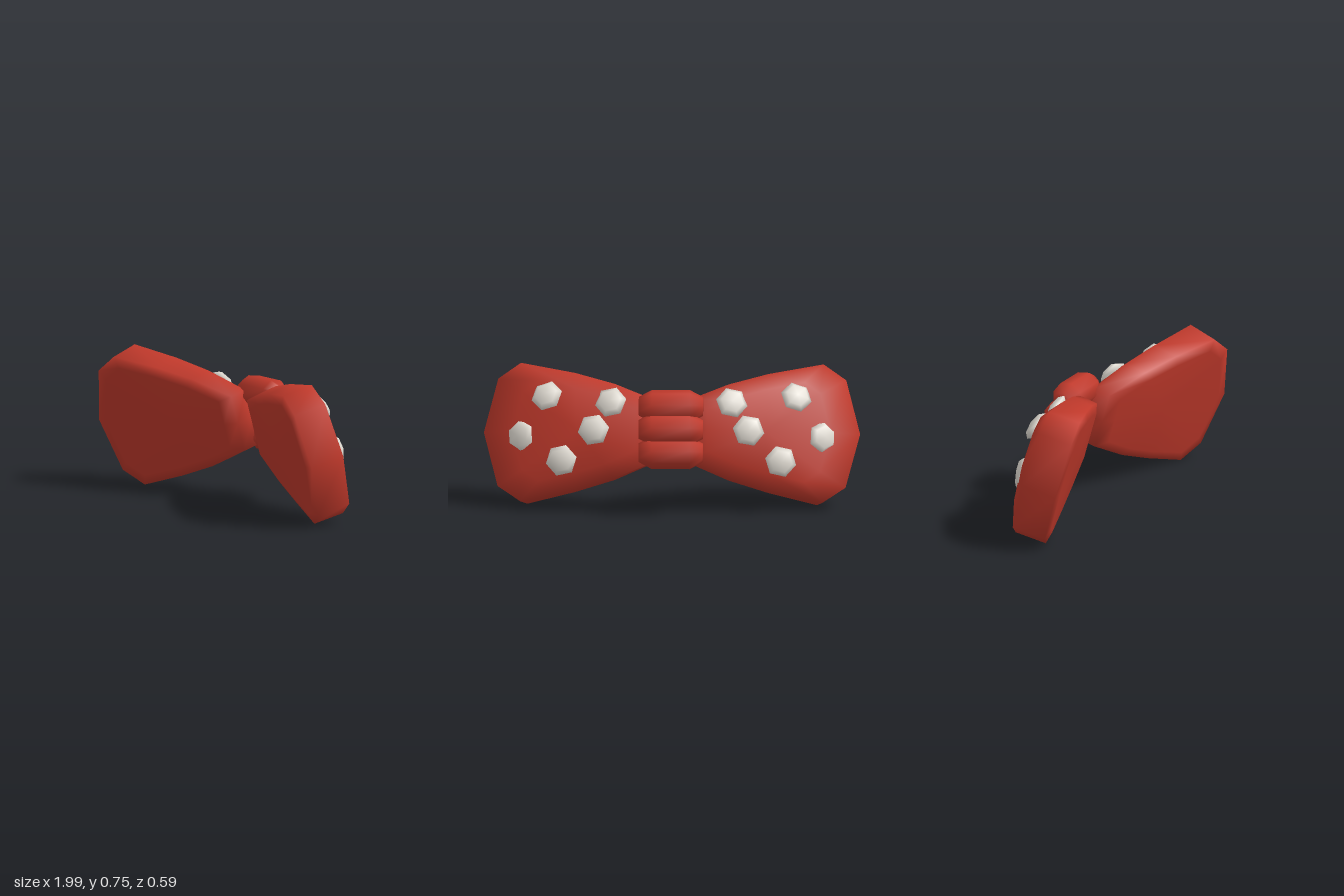
import * as THREE from 'three';
import { mergeVertices } from 'three/addons/utils/BufferGeometryUtils.js';

const red = new THREE.MeshStandardMaterial({ color: 0xc0392b });
red.name = 'red fabric';
const white = new THREE.MeshStandardMaterial({ color: 0xe2ddd4 });
white.name = 'off-white dots';

// Upper half of the wing outline, from the knot to the outer tip
const half = [[0.07, 0.155], [0.3, 0.25], [0.51, 0.31], [0.78, 0.367], [0.9, 0.285], [0.975, 0]];
const outline = [
  ...half,
  ...half.slice(0, -1).reverse().map(([x, y]) => [x, -y]),
  [0.07, 0],
].reverse();

// Depth of the front and back rims, sweeping forward towards the tip
const frontRim = (x) => -0.02 + 0.3 * (x - 0.07);
const backRim = (x) => -0.117 + 0.2 * (x - 0.07);

// Rings from the middle of the front face, round the rim, to the middle of the back
const rings = [
  { scale: 0, rim: frontRim, bulge: 0.02, shift: 0 },
  { scale: 0.84, rim: frontRim, bulge: 0.02, shift: 0 },
  { scale: 1, rim: frontRim, bulge: 0, shift: -0.015 },
  { scale: 1, rim: backRim, bulge: 0, shift: 0.02 },
  { scale: 0.72, rim: backRim, bulge: -0.065, shift: 0 },
  { scale: 0, rim: backRim, bulge: -0.082, shift: 0 },
];

function wingGeometry(side) {
  const points = side > 0 ? outline : [...outline].reverse();
  const n = points.length;
  const positions = [];
  const index = [];
  rings.forEach(({ scale, rim, bulge, shift }) => {
    for (const [px, py] of points) {
      const x = 0.5 + (px - 0.5) * scale;
      positions.push(side * (x + (px > 0.7 ? shift : 0)), py * scale, rim(x) + bulge);
    }
  });
  for (let r = 0; r < rings.length - 1; r++) {
    for (let i = 0; i < n; i++) {
      const a = r * n + i, an = r * n + (i + 1) % n;
      const b = a + n, bn = an + n;
      if (rings[r + 1].scale > 0) index.push(a, b, bn);
      if (rings[r].scale > 0) index.push(a, bn, an);
    }
  }
  // The last ring collapses to a point and closes the back
  const last = (rings.length - 1) * n;
  for (let i = 0; i < n; i++) {
    index.push(last - n + i, last, last - n + (i + 1) % n);
  }
  // Remove the duplicate zero-width triangles of the closing ring
  const clean = [];
  for (let i = 0; i < index.length; i += 3) {
    const t = index.slice(i, i + 3);
    if (t.filter((k) => k >= last).length < 2) clean.push(...t);
  }
  const seen = new Set();
  const unique = [];
  for (let i = 0; i < clean.length; i += 3) {
    const key = clean.slice(i, i + 3).map((k) => (k >= last ? last : k)).join();
    if (!seen.has(key)) unique.push(...clean.slice(i, i + 3));
    seen.add(key);
  }
  let geometry = new THREE.BufferGeometry();
  geometry.setAttribute('position', new THREE.Float32BufferAttribute(positions, 3));
  geometry.setIndex(unique);
  geometry = mergeVertices(geometry);
  geometry.computeVertexNormals();
  return geometry;
}

// Dot centres on the back, with the sideways and upward lean of each
const dots = [
  [0.41, 0, -0.144, 0.15, 0],
  [0.58, -0.16, -0.11, 0.2, -0.1],
  [0.32, 0.148, -0.136, 0.2, 0.25],
  [0.66, 0.184, -0.082, 0.3, 0.35],
  [0.8, -0.024, -0.03, 0.65, 0],
];

export function createModel() {
  const model = new THREE.Group();
  model.name = 'bowTie';
  const bow = new THREE.Group();
  bow.name = 'tiltedBow';
  bow.position.y = 0.4;
  bow.rotation.x = 0.28;
  model.add(bow);

  const add = (name, geometry, material, x = 0, y = 0, z = 0) => {
    const mesh = new THREE.Mesh(geometry, material);
    mesh.name = name;
    mesh.position.set(x, y, z);
    bow.add(mesh);
    return mesh;
  };

  // Wings and their raised dots
  const dotGeometry = new THREE.SphereGeometry(1, 6, 4);
  const up = new THREE.Vector3(0, 1, 0);
  for (const side of [1, -1]) {
    const label = side > 0 ? 'left' : 'right';
    add(label + 'Wing', wingGeometry(side), red);
    dots.forEach(([x, y, z, nx, ny], i) => {
      const dot = add(label + 'Dot' + (i + 1), dotGeometry, white, side * x, y, z);
      dot.quaternion.setFromUnitVectors(up, new THREE.Vector3(side * nx, ny, -1).normalize());
      dot.scale.set(0.085, 0.036, 0.085);
    });
  }

  // Knot: three stacked rolls with chamfered ends
  const profile = [[0, -0.17], [0.05, -0.17], [0.087, -0.1], [0.087, 0.1], [0.05, 0.17], [0, 0.17]]
    .map(([r, y]) => new THREE.Vector2(r, y));
  const roll = new THREE.LatheGeometry(profile, 8).rotateZ(Math.PI / 2);
  [[0.124, -0.178], [0, -0.197], [-0.122, -0.178]].forEach(([y, z], i) => {
    add('knotRoll' + (i + 1), roll, red, 0, y, z);
  });

  return model;
}
